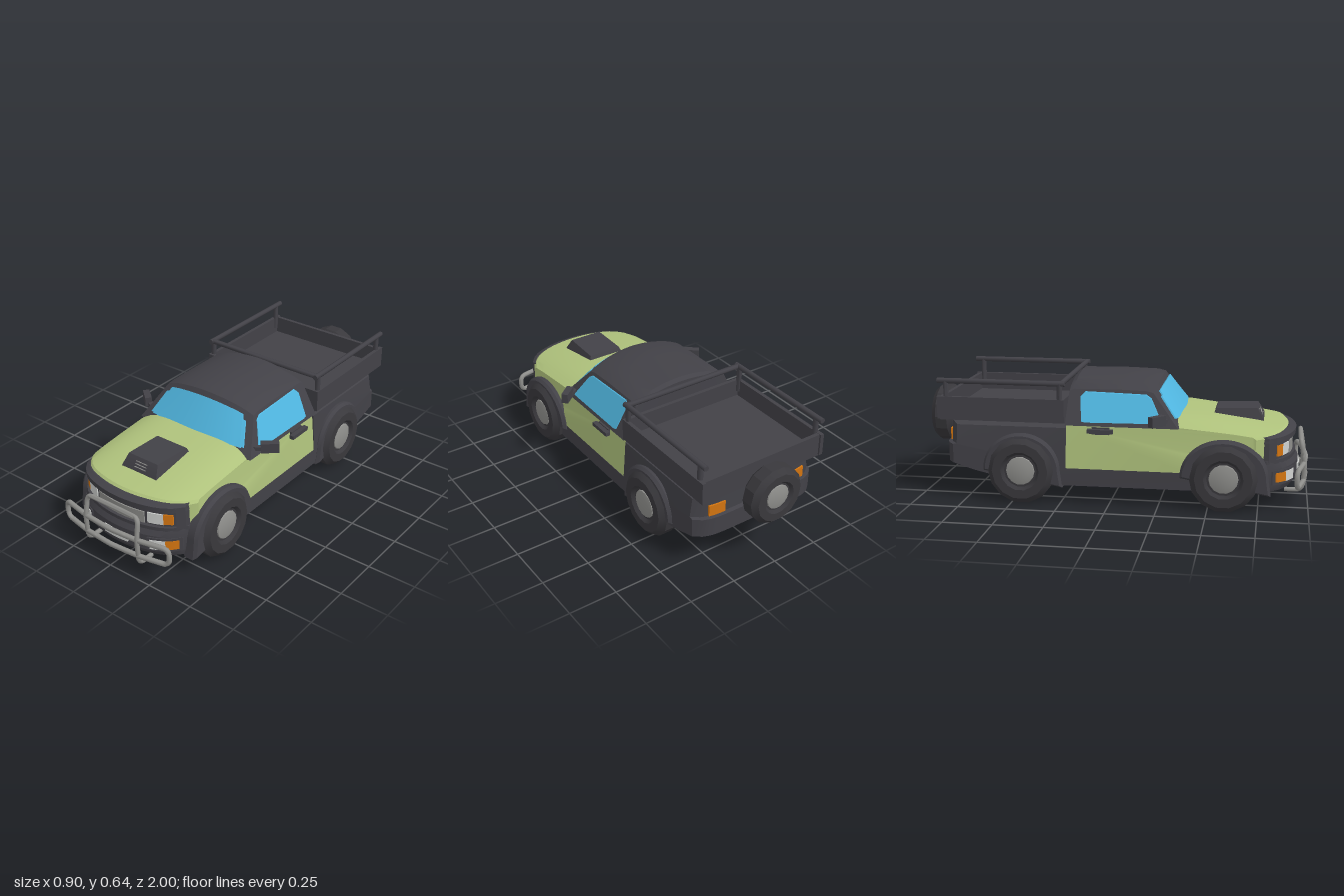
import * as THREE from 'three';
import { toCreasedNormals } from 'three/addons/utils/BufferGeometryUtils.js';

const mat = (name, color) => {
  const m = new THREE.MeshStandardMaterial({ color });
  m.name = name;
  return m;
};

export function createModel() {
  const car = new THREE.Group();
  car.name = 'pickupTruck';
  const paint = mat('greenPaint', 0xafc27c);
  const trim = mat('darkTrim', 0x424147);
  const rubber = mat('tyreRubber', 0x39383c);
  const glass = mat('blueGlass', 0x50b6e0);
  const metal = mat('greyMetal', 0x8f8f8c);
  const lamp = mat('whiteLamp', 0xd0d2d0);
  const amber = mat('amberLamp', 0xd27410);

  const add = (name, geo, material, parent = car, crease = 0.42) => {
    const mesh = new THREE.Mesh(toCreasedNormals(geo, crease), material);
    mesh.name = name;
    parent.add(mesh);
    return mesh;
  };
  const box = (name, material, w, h, d, x, y, z) => {
    const m = add(name, new THREE.BoxGeometry(w, h, d), material);
    m.position.set(x, y, z);
    return m;
  };

  // Rules bending a straight cross-car extrusion: u runs -1..1 over the width
  const bodyRule = (u, y, z) => {
    const w = 0.358 - Math.max(0, y - 0.36) * 0.2 - Math.max(0, z - 0.4) * 0.03;
    const front = Math.max(0, (z - 0.45) / 0.48);
    const rear = THREE.MathUtils.clamp((-0.7 - z) / 0.14, 0, 1);
    return [
      u * w,
      y - Math.max(0, y - 0.36) * 0.5 * u ** 4,
      z - front * (0.1 * u ** 2 + 0.08 * u ** 8) + rear * 0.05 * u ** 8,
    ];
  };
  const cabRule = (u, y, z) => {
    const y2 = y - (0.045 * u ** 2 + 0.015 * u ** 8) * (y - 0.42) / 0.225;
    return [
      u * (0.354 - (y2 - 0.42) * 0.5),
      y2,
      z - 0.04 * u ** 2 * Math.max(0, (z - 0.04) / 0.35),
    ];
  };
  const scoopRule = (u, y, z) => [u * (0.112 - (y - 0.41) * 0.3), y, z];

  // Extrude a side profile of [z, y] points from u0 to u1, then bend it
  const slab = (name, material, pts, u0 = -1, u1 = 1, rule = bodyRule) => {
    const shape = new THREE.Shape(pts.map(([z, y]) => new THREE.Vector2(-z, y)));
    const geo = new THREE.ExtrudeGeometry(shape, {
      depth: u1 - u0, steps: Math.max(1, Math.ceil((u1 - u0) * 9)), bevelEnabled: false,
    });
    const p = geo.attributes.position;
    for (let i = 0; i < p.count; i++) {
      p.setXYZ(i, ...rule(p.getZ(i) + u0, p.getY(i), -p.getX(i)));
    }
    return add(name, geo, material);
  };
  const slabPair = (name, material, pts, u0, u1, rule) => {
    slab(name + 'Left', material, pts, u0, u1, rule);
    slab(name + 'Right', material, pts, -u1, -u0, rule);
  };
  const strip = (z0, z1, y0, y1) => [[z0, y0], [z1, y0], [z1, y1], [z0, y1]];

  // Painted bonnet, wings and doors
  slab('paintedBody', paint, [
    [-0.22, 0.19], [0.4, 0.19], [0.4, 0.25], [0.6, 0.25], [0.75, 0.25], [0.9, 0.25],
    [0.905, 0.375], [0.88, 0.398], [0.75, 0.42], [0.6, 0.438], [0.37, 0.467], [-0.22, 0.465]]);
  // Dark sills and rear body
  slab('sillAndRearBody', trim, [
    [0.6, 0.1], [0.6, 0.19], [-0.22, 0.19], [-0.22, 0.435], [-0.7, 0.435], [-0.84, 0.435],
    [-0.842, 0.3], [-0.862, 0.295], [-0.862, 0.197], [-0.7, 0.163], [-0.6, 0.14], [-0.4, 0.1]],
  -1.008, 1.008);
  slab('frontBumper', trim, [
    [0.45, 0.1], [0.75, 0.1], [0.925, 0.1], [0.945, 0.13], [0.945, 0.215], [0.925, 0.25],
    [0.75, 0.25], [0.45, 0.25]], -1.012, 1.012);

  // Grille frame, grille and lamps
  slab('grillePanel', trim, strip(0.87, 0.91, 0.25, 0.365), -0.88, 0.88);
  slab('grilleTopLip', trim, [[0.85, 0.343], [0.93, 0.346], [0.932, 0.375], [0.9, 0.388], [0.85, 0.385]], -0.93, 0.93);
  slab('grilleBottomLip', trim, strip(0.85, 0.93, 0.24, 0.26), -0.95, 0.95);
  slabPair('grilleSide', trim, strip(0.85, 0.93, 0.25, 0.37), 0.85, 0.93);
  slab('grilleInsert', metal, strip(0.909, 0.916, 0.262, 0.325), -0.42, 0.42);
  slabPair('headlight', lamp, strip(0.909, 0.917, 0.27, 0.328), 0.47, 0.69);
  slabPair('turnSignal', amber, strip(0.909, 0.917, 0.272, 0.328), 0.69, 0.8);
  slabPair('fogLampRim', trim, strip(0.93, 0.952, 0.133, 0.207), 0.52, 0.92);
  slabPair('fogLamp', lamp, strip(0.95, 0.956, 0.144, 0.196), 0.56, 0.76);
  slabPair('fogTurnSignal', amber, strip(0.95, 0.956, 0.146, 0.194), 0.76, 0.89);
  slab('numberPlate', lamp, strip(0.943, 0.952, 0.147, 0.191), -0.215, 0.215);
  slabPair('tailLight', amber, strip(-0.849, -0.838, 0.302, 0.36), 0.55, 0.8);

  // Cab with windscreen and side windows
  slab('cab', trim, [
    [0.39, 0.41], [0.24, 0.632], [0.2, 0.643], [0.05, 0.648], [-0.19, 0.645],
    [-0.212, 0.632], [-0.222, 0.41]], -1, 1, cabRule);
  const screen = (y, off) => [0.39 - (y - 0.41) * 0.6757 + off, y + off * 0.6];
  slab('windscreen', glass, [
    screen(0.455, 0), screen(0.455, 0.007), screen(0.608, 0.007), screen(0.608, 0)], -0.84, 0.84, cabRule);
  slabPair('windscreenEdge', glass, [
    screen(0.46, 0), screen(0.46, 0.007), screen(0.585, 0.007), screen(0.585, 0)], 0.84, 0.89, cabRule);
  slabPair('sideWindow', glass, [
    [0.3, 0.44], [0.23, 0.6], [0.2, 0.622], [-0.13, 0.632], [-0.152, 0.6], [-0.14, 0.44], [-0.12, 0.434]],
  0.98, 1.014, cabRule);

  // Bonnet scoop with pale slats
  slab('bonnetScoop', trim, [[0.77, 0.39], [0.765, 0.42], [0.73, 0.478], [0.52, 0.47], [0.5, 0.42]], -1, 1, scoopRule);
  for (const y of [0.435, 0.447, 0.459]) {
    box('scoopSlat', metal, 0.07, 0.003, 0.006, 0, y, 0.765 - (y - 0.42) * 0.6);
  }

  // Wheels: a lathed tyre with a domed hub, axle along x
  const wheel = (name) => {
    const g = new THREE.Group();
    g.name = name;
    const lathe = (pts) => new THREE.LatheGeometry(pts.map(([r, h]) => new THREE.Vector2(r, h)), 14).rotateZ(-Math.PI / 2);
    add('tyre', lathe([[0, -0.063], [0.145, -0.063], [0.174, -0.035], [0.174, 0.035],
      [0.145, 0.065], [0.1, 0.065], [0.085, 0.048], [0, 0.048]]), rubber, g);
    add('hub', lathe([[0.076, 0.044], [0.072, 0.054], [0.045, 0.061], [0, 0.062]]), metal, g);
    car.add(g);
    return g;
  };
  for (const [end, z, rx] of [['front', 0.58, 0.22], ['rear', -0.45, 0.2]]) {
    for (const s of [1, -1]) {
      const w = wheel(end + 'Wheel');
      w.position.set(s * 0.338, 0.174, z);
      if (s < 0) w.rotation.y = Math.PI;

      // Flared arch around the wheel
      const arch = new THREE.Shape();
      arch.moveTo(rx, 0.1);
      arch.absellipse(0, 0.175, rx - 0.012, 0.177, 0, Math.PI, false);
      arch.lineTo(-rx, 0.1);
      const geo = new THREE.ExtrudeGeometry(arch, {
        depth: 0.05, curveSegments: 14, bevelThickness: 0.016, bevelSize: 0.012, bevelSegments: 1,
      });
      geo.rotateY(Math.PI / 2).translate(-0.025, 0, 0);
      const m = add(end + 'WheelArch', geo, trim);
      m.position.set(s * 0.337, 0, z);
    }
  }
  const spare = wheel('spareWheel');
  spare.position.set(0, 0.385, -0.943);
  spare.rotation.y = Math.PI / 2;
  spare.scale.setScalar(0.865);
  box('spareWheelMount', trim, 0.12, 0.12, 0.08, 0, 0.385, -0.86);

  // Open load bed
  box('bedFloor', trim, 0.7, 0.03, 0.65, 0, 0.435, -0.55);
  box('bedFrontWall', trim, 0.71, 0.115, 0.02, 0, 0.485, -0.235);
  box('tailgate', trim, 0.69, 0.115, 0.02, 0, 0.483, -0.865);
  for (const s of [1, -1]) box('bedSide', trim, 0.02, 0.115, 0.66, s * 0.353, 0.485, -0.555);

  // Bed rails and bull bar
  const tube = (name, material, pts, r, closed = false) => {
    const path = new THREE.CurvePath();
    const v = pts.map((p) => new THREE.Vector3(...p));
    if (closed) v.push(v[0].clone());
    const curve = v.length === 2 ? new THREE.LineCurve3(v[0], v[1])
      : new THREE.CatmullRomCurve3(closed ? v.slice(0, -1) : v, closed, 'catmullrom', 0.15);
    add(name, new THREE.TubeGeometry(curve, v.length === 2 ? 1 : v.length * 6, r, 8, closed), material, car, 0.9);
    if (closed) return;
    for (const [p, q] of [[v[0], v[1]], [v.at(-1), v.at(-2)]]) {
      const cap = add(name + 'End', new THREE.CircleGeometry(r, 8), material);
      cap.position.copy(p);
      cap.lookAt(p.clone().multiplyScalar(2).sub(q));
    }
  };
  for (const s of [1, -1]) {
    tube('bedSideRail', trim, [[s * 0.345, 0.622, -0.222], [s * 0.345, 0.622, -0.885]], 0.014);
    for (const z of [-0.25, -0.84]) {
      tube('bedRailPost', trim, [[s * 0.345, 0.48, z], [s * 0.345, 0.622, z]], 0.014);
    }
  }
  tube('bedCrossRail', trim, [[-0.345, 0.622, -0.24], [0.345, 0.622, -0.24]], 0.014);

  const barZ = (x) => 0.986 - 0.42 * x * x;
  const loop = [[-0.31, 0.214], [-0.165, 0.214], [0, 0.214], [0.165, 0.214], [0.31, 0.214], [0.33, 0.192],
    [0.33, 0.146], [0.31, 0.124], [0.165, 0.124], [0, 0.124], [-0.165, 0.124], [-0.31, 0.124],
    [-0.33, 0.146], [-0.33, 0.192]];
  tube('bullBarLoop', metal, loop.map(([x, y]) => [x, y, barZ(x)]), 0.013, true);
  const half = [[0.165, 0.075, 0.88], [0.165, 0.075, 0.95], [0.165, 0.1, 0.972], [0.165, 0.21, 0.978],
    [0.162, 0.305, 0.962], [0.14, 0.328, 0.957]];
  tube('bullBarHoop', metal, [...half, ...half.map(([x, y, z]) => [-x, y, z]).reverse()], 0.012);

  // Door mirrors and handles
  for (const s of [1, -1]) {
    const mirror = box('doorMirror', trim, 0.09, 0.052, 0.035, s * 0.402, 0.459, 0.25);
    mirror.rotation.y = s * 0.7;
    const stalk = box('mirrorStalk', trim, 0.06, 0.02, 0.025, s * 0.355, 0.447, 0.275);
    stalk.rotation.y = s * 0.5;
    box('doorHandle', trim, 0.025, 0.02, 0.13, s * 0.376, 0.392, -0.04);
    box('doorHandleCup', trim, 0.012, 0.036, 0.09, s * 0.358, 0.39, -0.04);
  }
  return car;
}
